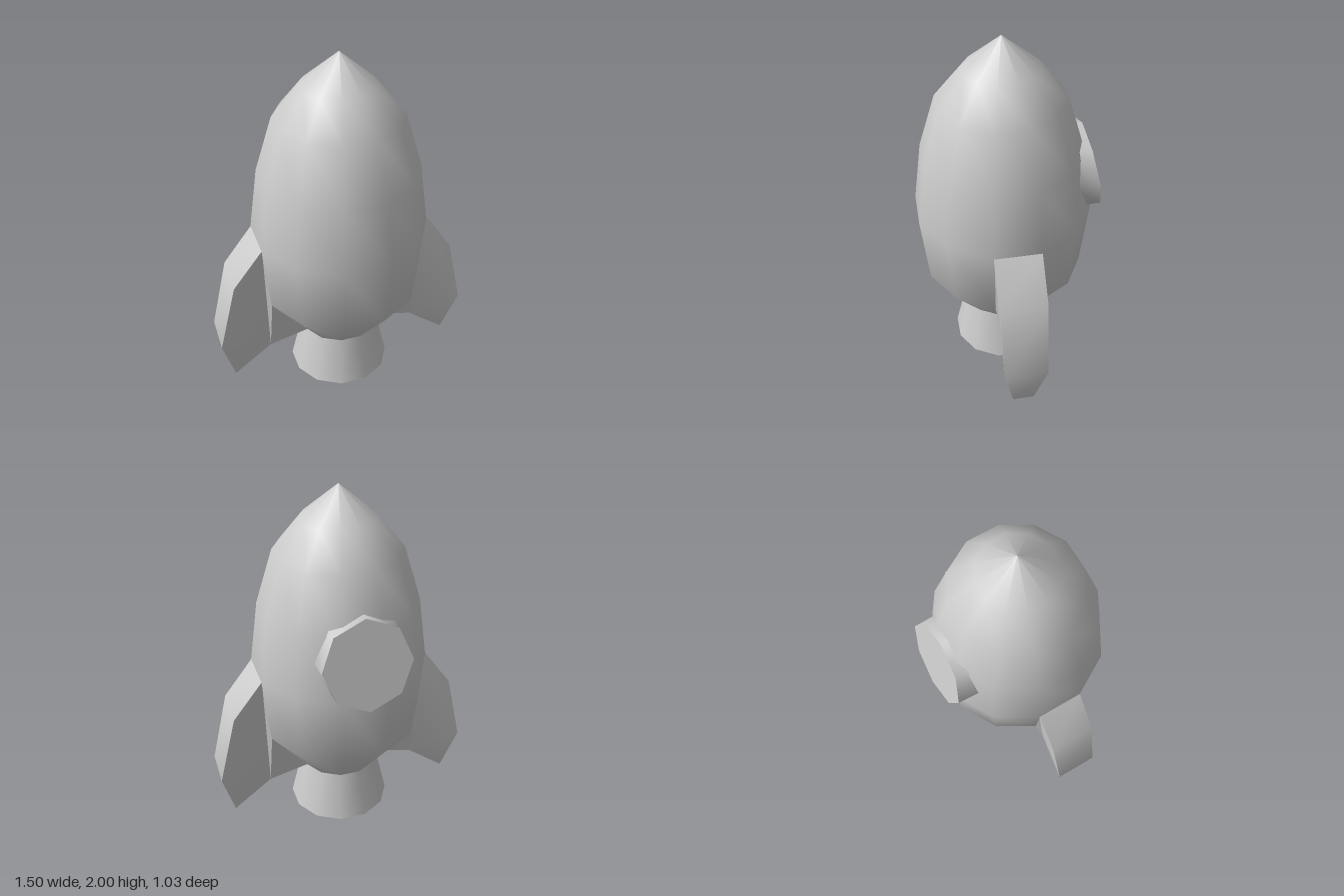
import * as THREE from 'three';
import { toCreasedNormals } from 'three/addons/utils/BufferGeometryUtils.js';

const SIDES = 12;
const START = Math.PI / SIDES; // flat faces towards the front and sides

// Fin outline, counter-clockwise: x, y, half thickness
const FIN = [
  [0.22, 0.29, 0.06], [0.45, 0.235, 0.06], [0.675, 0.065, 0.06],
  [0.75, 0.345, 0.12], [0.65, 0.76, 0.13], [0.48, 0.98, 0.13], [0.44, 0.58, 0.119],
];

function finGeometry() {
  const front = FIN.map(([x, y, h]) => [x, y, h]);
  const back = FIN.map(([x, y, h]) => [x, y, -h]);
  const pos = [];
  const tri = (...corners) => corners.forEach((c) => pos.push(...c));
  // Broad sides
  const outline = FIN.map(([x, y]) => new THREE.Vector2(x, y));
  for (const [a, b, c] of THREE.ShapeUtils.triangulateShape(outline, [])) {
    tri(front[a], front[b], front[c]);
    tri(back[a], back[c], back[b]);
  }
  // Rim, left open where the fin meets the body
  for (let i = 0; i < 5; i++) {
    tri(front[i], back[i], back[i + 1]);
    tri(front[i], back[i + 1], front[i + 1]);
  }
  const geo = new THREE.BufferGeometry();
  geo.setAttribute('position', new THREE.Float32BufferAttribute(pos, 3));
  return toCreasedNormals(geo, 0.6);
}

function portholeGeometry() {
  const geo = new THREE.CylinderGeometry(0.248, 0.255, 0.2, 8, 1, false);
  geo.rotateX(-Math.PI / 2); // outer cap faces -z
  const p = geo.attributes.position;
  // Slant the outer cap; bury the inner end in the body
  for (let i = 0; i < p.count; i++) {
    const outer = p.getZ(i) < 0;
    p.setZ(i, outer ? -0.493 + p.getY(i) * 0.2 : -0.33);
  }
  return toCreasedNormals(geo, 0.9);
}

export function createModel() {
  const grey = new THREE.MeshStandardMaterial({ color: 0xcccccc });
  grey.name = 'light grey';
  const model = new THREE.Group();
  model.name = 'rocket';

  const add = (name, geometry) => {
    const mesh = new THREE.Mesh(geometry, grey);
    mesh.name = name;
    mesh.position.z = 0.03;
    model.add(mesh);
    return mesh;
  };

  // Hull, from nozzle joint to tip
  const profile = [
    [0.228, 0.29], [0.458, 0.58], [0.5, 0.98], [0.45, 1.34],
    [0.354, 1.65], [0.21, 1.825], [0, 2],
  ].map(([r, y]) => new THREE.Vector2(r, y));
  add('hull', new THREE.LatheGeometry(profile, SIDES, START));

  // Flared exhaust nozzle
  add('nozzle', new THREE.CylinderGeometry(0.228, 0.295, 0.29, SIDES, 1, false, START))
    .position.y = 0.145;

  // Two side fins
  const fin = finGeometry();
  add('leftFin', fin);
  add('rightFin', fin).rotation.y = Math.PI;

  // Slanted porthole on the back
  add('porthole', portholeGeometry()).position.y = 1.202;

  return model;
}
